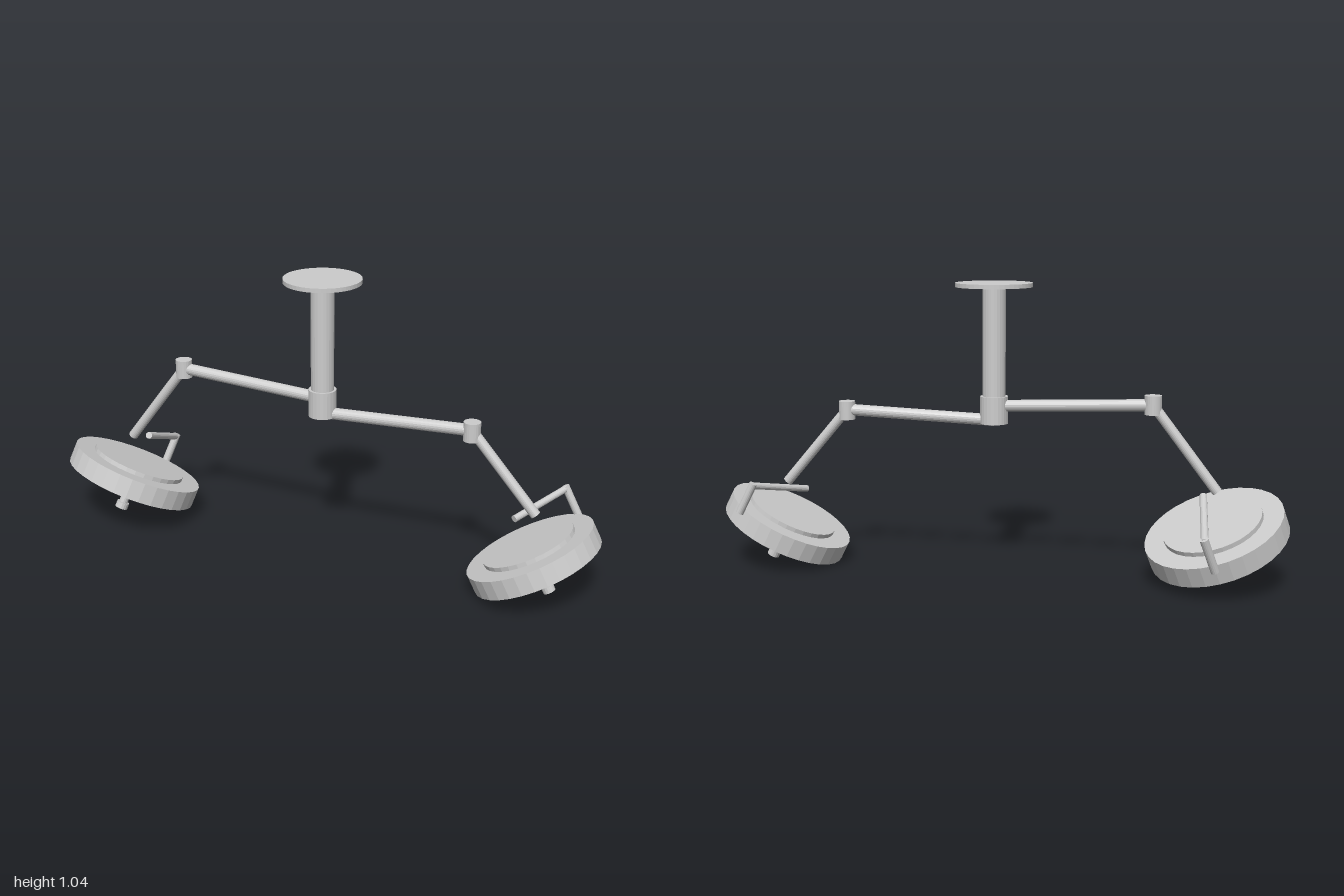
import * as THREE from 'three';

const V = (x, y, z) => new THREE.Vector3(x, y, z);

export function createModel() {
  const model = new THREE.Group();
  model.name = 'ceilingLamp';
  const metal = new THREE.MeshStandardMaterial({ color: 0xcccccc, flatShading: true });
  metal.name = 'lightGreyMetal';

  // round rod between two points
  function rod(parent, name, a, b, radius, sides = 20) {
    const mesh = new THREE.Mesh(
      new THREE.CylinderGeometry(radius, radius, a.distanceTo(b), sides), metal);
    mesh.name = name;
    mesh.position.copy(a).add(b).multiplyScalar(0.5);
    mesh.quaternion.setFromUnitVectors(V(0, 1, 0), b.clone().sub(a).normalize());
    parent.add(mesh);
    return mesh;
  }

  // upright disc or cylinder from y0 to y1
  const disc = (parent, name, x, z, y0, y1, radius, sides = 32) =>
    rod(parent, name, V(x, y0, z), V(x, y1, z), radius, sides);

  // ceiling mount
  disc(model, 'ceilingPlate', 0.02, 0.01, 1.03, 1.045, 0.137, 48);
  disc(model, 'column', 0.02, 0.01, 0.6, 1.03, 0.041, 24);
  disc(model, 'columnCollar', 0.02, 0.01, 0.545, 0.643, 0.05, 24);

  // lamp head: local y is the lamp axis, local x points to the bracket
  function lampHead(name, centre, axis, toBracket, scale) {
    const head = new THREE.Group();
    head.name = name;
    const y = axis.clone().normalize();
    const x = toBracket.clone().addScaledVector(y, -toBracket.dot(y)).normalize();
    const z = x.clone().cross(y);
    head.quaternion.setFromRotationMatrix(new THREE.Matrix4().makeBasis(x, y, z));
    head.position.copy(centre);
    head.scale.setScalar(scale);

    disc(head, 'lampBody', 0, 0, -0.0375, 0.0375, 0.25);
    disc(head, 'raisedBack', 0, 0, 0.03, 0.054, 0.178);
    // six lenses around the underside
    for (let i = 0; i < 6; i++) {
      const t = Math.PI / 6 + i * Math.PI / 3;
      disc(head, 'lens', Math.cos(t) * 0.14, Math.sin(t) * 0.14, -0.046, -0.03, 0.054, 24);
    }
    // grip
    disc(head, 'handle', 0, 0, -0.13, -0.03, 0.017, 16);
    disc(head, 'handleTip', 0, 0, -0.148, -0.124, 0.024, 16);
    // bracket over the back of the lamp, down to its rim
    rod(head, 'bracketArm', V(-0.01, 0.16, 0), V(0.262, 0.14, 0), 0.013, 16);
    disc(head, 'bracketPost', 0.26, 0, 0.02, 0.15, 0.015, 16);
    model.add(head);
  }

  // two jointed arms: shoulder, elbow, wrist, elbow cylinder range
  const arms = [
    { side: 'right', shoulder: V(0.02, 0.608, 0.01), elbow: V(-0.533, 0.633, 0.148),
      wrist: V(-0.745, 0.335, 0.226), low: 0.6, high: 0.667 },
    { side: 'left', shoulder: V(0.02, 0.556, 0.01), elbow: V(0.55, 0.576, -0.147),
      wrist: V(0.77, 0.3, -0.225), low: 0.54, high: 0.607 },
  ];
  for (const { side, shoulder, elbow, wrist, low, high } of arms) {
    rod(model, side + 'UpperArm', shoulder, elbow, 0.021);
    disc(model, side + 'Elbow', elbow.x, elbow.z, low, high, 0.03, 24);
    rod(model, side + 'LowerArm', elbow, wrist, 0.018);
  }

  lampHead('rightLamp', V(-0.746, 0.179, 0.227), V(0.18, 0.907, -0.38), V(-0.095, -0.082, -0.24), 1);
  lampHead('leftLamp', V(0.767, 0.142, -0.232), V(-0.42, 0.893, 0.16), V(0.048, 0.058, -0.232), 0.94);
  return model;
}
